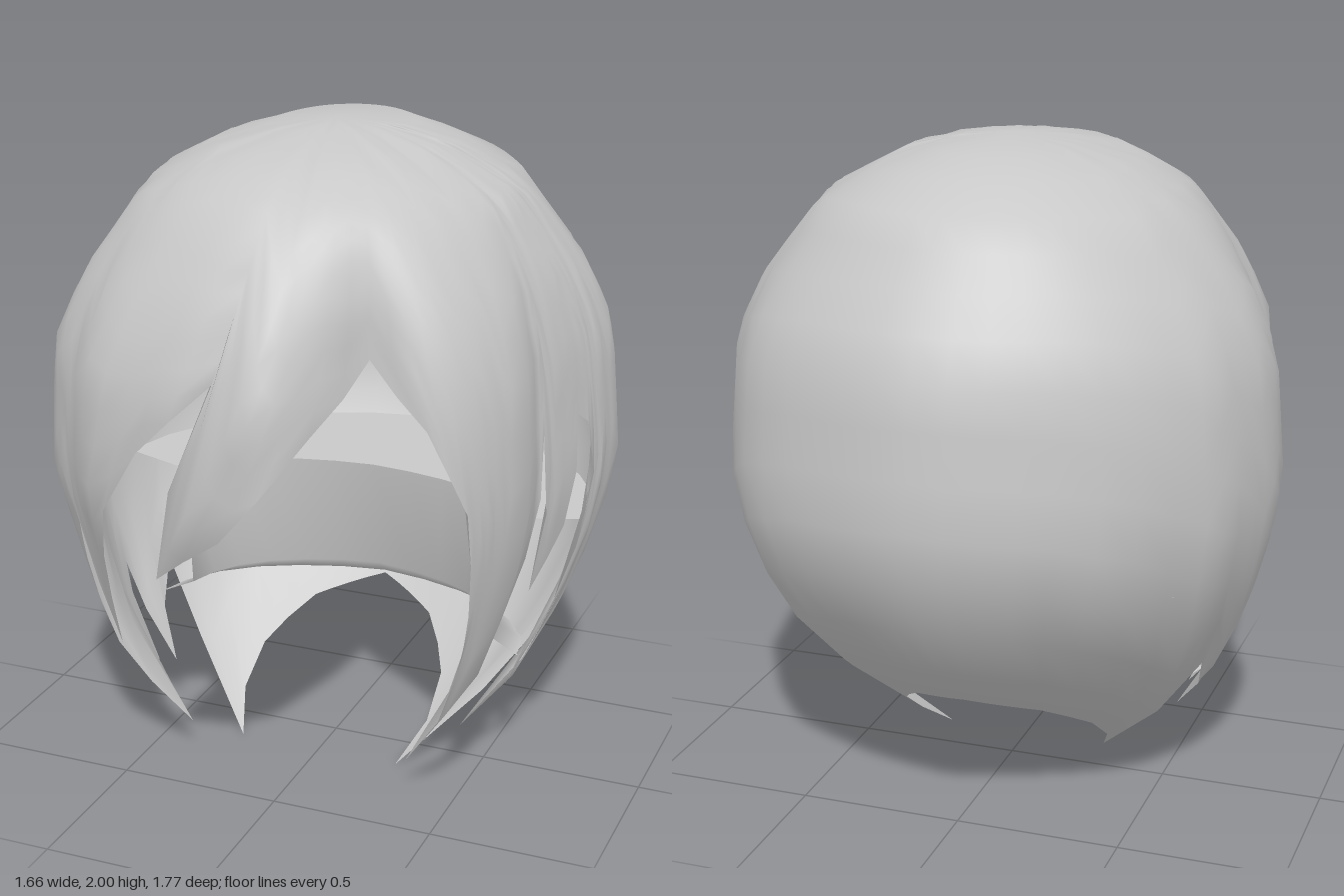
import * as THREE from 'three';

const hairGrey = new THREE.MeshStandardMaterial({ color: 0xc8c8c8, side: THREE.DoubleSide });
hairGrey.name = 'hairGrey';

// Piecewise linear lookup in a list of [key, value] with rising keys
function lookup(table, k) {
  if (k <= table[0][0]) return table[0][1];
  for (let i = 1; i < table.length; i++) {
    const [a, va] = table[i - 1], [b, vb] = table[i];
    if (k <= b) return va + (vb - va) * (k - a) / (b - a);
  }
  return table[table.length - 1][1];
}

// Plan outline: [degrees from the front towards +x, radius]
const plan = [
  [-180, .89], [-158, .86], [-138, .86], [-125, .86], [-105, .85], [-87, .84], [-77, .80],
  [-61, .78], [-55, .87], [-40, .86], [-30, .89], [-18, .86], [0, .87], [9, .90], [15, .83],
  [30, .67], [39, .80], [46, .83], [65, .80], [72, .75], [82, .76], [90, .78], [108, .86],
  [120, .85], [138, .88], [160, .87], [180, .89],
];
// Upright profiles: [height, share of the plan radius]
const frontProfile = [[0, .35], [.1, .5], [.4, .75], [.8, .9], [1.02, 1], [1.38, 1], [1.6, .9], [1.77, .77], [1.87, .66], [1.95, .46], [1.985, .2], [2, 0]];
const sideProfile = [[0, .35], [.1, .5], [.3, .72], [.56, .87], [.8, .96], [1, 1], [1.4, .96], [1.6, .86], [1.83, .66], [1.95, .38], [1.985, .18], [2, 0]];
const backProfile = [[0, .36], [.2, .55], [.37, .73], [.56, .88], [.8, .93], [1, 1], [1.5, .95], [1.86, .67], [1.98, .33], [2, 0]];

// Point on the hair surface; smooth at the crown, and below the ears it sweeps forward
function hairPoint(deg, y) {
  const d = ((deg + 180) % 360 + 360) % 360 - 180;
  const a = THREE.MathUtils.degToRad(d), c = Math.cos(a);
  const end = lookup(c > 0 ? frontProfile : backProfile, y);
  const crown = THREE.MathUtils.smoothstep(y, 1.35, 1.93);
  const radius = THREE.MathUtils.lerp(lookup(plan, d), .82 + .05 * c * c, crown);
  const r = radius * THREE.MathUtils.lerp(lookup(sideProfile, y), end, c * c);
  const sweep = .5 * Math.max(0, .8 - y) * (1 - c) / 2;
  return [r * Math.sin(a), y, r * c + sweep];
}

// Locks round the hem: [root degrees, hem degrees, hem height]
const locks = [
  // swept fringe
  [30, 30, 1.47], [22, 17, 1.3], [17, 0, .99], [13, -19, .79], [4, -1, 1.44], [-8, -18, 1.2],
  [-22, -35, .8], [-34, -49, .43], [-42, -46, .85],
  // right side locks
  [-50, -51, .7], [-57, -55, .4], [-64, -57, .11], [-72, -72, .32], [-82, -81, .24],
  [-92, -90, .5], [-102, -96, .2], [-112, -110, .45],
  // nape
  [-122, -120, 0], [-135, -142, .2], [-150, -160, .31], [-165, -170, .34], [-180, -180, .37],
  [-195, -190, .34], [-210, -200, .31], [-225, -218, .2], [-238, -240, 0],
  // left side locks
  [-248, -250, .45], [-255, -258, .15], [-259, -260, .6], [-262, -262, .3], [-265, -265, .85],
  [-267, -267, 1.15], [-271, -271, 1.19], [-275, -274, .85], [-280, -281, .67], [-284, -285, 1.18],
  [-288, -288, .8], [-300, -303, .11], [-305, -305, .5], [-311, -307, .7], [-318, -312, 1.05],
  [-324, -320, 1.3],
];

// Hair shell: one column per lock step, from crown to hem
function hairShell() {
  const rows = 14, steps = 2, count = locks.length * steps;
  const pos = [0, 2, 0], index = [];
  for (let i = 0; i < count; i++) {
    const a = locks[Math.floor(i / steps)];
    let b = locks[(Math.floor(i / steps) + 1) % locks.length];
    if (b === locks[0]) b = [b[0] - 360, b[1] - 360, b[2]];
    const [root, hem, low] = a.map((v, k) => v + (b[k] - v) * (i % steps) / steps);
    for (let j = 1; j <= rows; j++) {
      const t = j / rows, drop = Math.pow(t, 1.6);
      pos.push(...hairPoint(root + (hem - root) * drop * drop, 2 - (2 - low) * drop));
    }
  }
  const id = (i, j) => j === 0 ? 0 : 1 + (i % count) * rows + j - 1;
  for (let i = 0; i < count; i++) {
    for (let j = 0; j < rows; j++) {
      if (j > 0) index.push(id(i, j), id(i + 1, j), id(i, j + 1));
      index.push(id(i + 1, j), id(i + 1, j + 1), id(i, j + 1));
    }
  }
  return buildGeometry(pos, index);
}

function buildGeometry(pos, index) {
  const g = new THREE.BufferGeometry();
  g.setAttribute('position', new THREE.Float32BufferAttribute(pos, 3));
  g.setIndex(index);
  g.computeVertexNormals();
  return g;
}

// Curved band inside the back; each ring is [height, x scale, z scale] of the shell
function innerBand(rings) {
  const n = 12, pos = [], index = [];
  for (const [y, sx, sz] of rings) {
    for (let i = 0; i <= n; i++) {
      const [px, , pz] = hairPoint(100 + 160 * i / n, y);
      pos.push(px * sx, y, pz * sz);
    }
  }
  for (let j = 0; j < rings.length - 1; j++) {
    for (let i = 0; i < n; i++) {
      const a = j * (n + 1) + i, b = a + n + 1;
      index.push(a, a + 1, b, a + 1, b + 1, b);
    }
  }
  return buildGeometry(pos, index);
}

export function createModel() {
  const group = new THREE.Group();
  group.name = 'hair';
  const add = (name, geometry) => {
    const mesh = new THREE.Mesh(geometry, hairGrey);
    mesh.name = name;
    group.add(mesh);
  };
  add('hairShell', hairShell());
  add('napeLining', innerBand([[.8, .68, .38], [.43, .76, .74], [.38, .97, .97]]));
  add('napeLedge', innerBand([[.8, .98, .98], [.8, .68, .38]]));
  return group;
}
